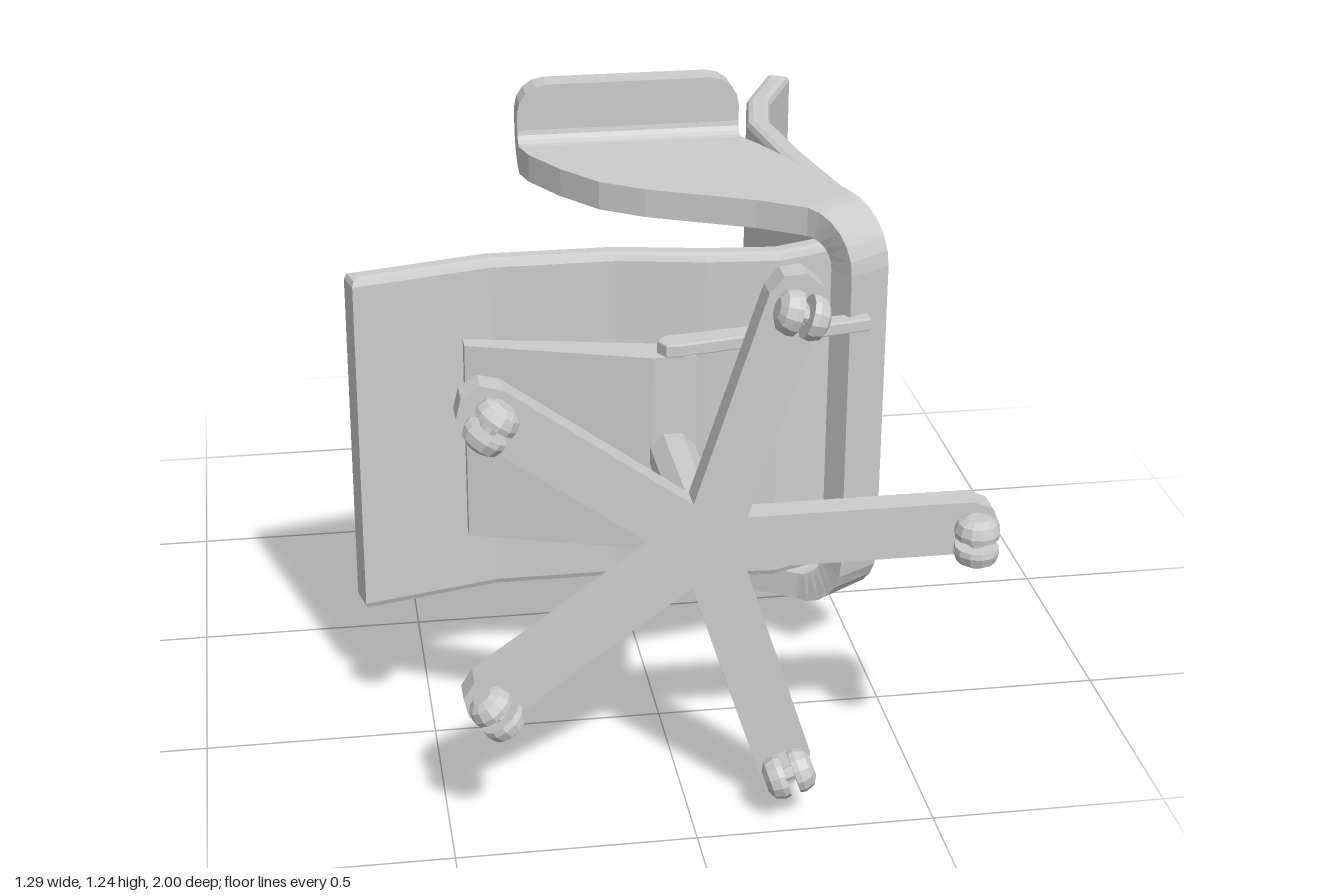
import * as THREE from 'three';

const mat = new THREE.MeshStandardMaterial({ color: 0xcccccc, flatShading: true });

function add(parent, name, geo, x = 0, y = 0, z = 0) {
  const m = new THREE.Mesh(geo, mat);
  m.name = name;
  m.position.set(x, y, z);
  parent.add(m);
  return m;
}

const v2 = (p) => p.map(([x, y]) => new THREE.Vector2(x, y));

// Extrude a side profile across the chair, centred on z = 0
function slab(points, width, bevel = 0) {
  const g = new THREE.ExtrudeGeometry(new THREE.Shape(v2(points)), {
    depth: width - 2 * bevel, bevelEnabled: bevel > 0,
    bevelSize: bevel, bevelThickness: bevel, bevelSegments: 2,
  });
  return g.translate(0, 0, -width / 2 + bevel);
}

// Closed outline at a constant distance on both sides of a path
function thicken(path, half) {
  const p = v2(path), left = [], right = [];
  p.forEach((c, i) => {
    const a = p[Math.max(i - 1, 0)], b = p[Math.min(i + 1, p.length - 1)];
    const t = b.clone().sub(a).normalize();
    left.push([c.x - t.y * half, c.y + t.x * half]);
    right.push([c.x + t.y * half, c.y - t.x * half]);
  });
  return [...right, ...left.reverse()];
}

// Skin over four-cornered cross-sections, capped at both ends
function loft(rings) {
  const pos = rings.flat(2), idx = [], last = (rings.length - 1) * 4;
  for (let i = 0; i < rings.length - 1; i++) {
    for (let j = 0; j < 4; j++) {
      const a = i * 4 + j, b = i * 4 + (j + 1) % 4;
      idx.push(a, a + 4, b + 4, a, b + 4, b);
    }
  }
  idx.push(0, 1, 2, 0, 2, 3, last, last + 2, last + 1, last, last + 3, last + 2);
  const g = new THREE.BufferGeometry();
  g.setAttribute('position', new THREE.Float32BufferAttribute(pos, 3));
  g.setIndex(idx);
  const flat = g.toNonIndexed();
  flat.computeVertexNormals();
  return flat;
}

// One continuous strap: arm pad, side panel, bend, bar under the seat, mirrored
function armStrap() {
  const t = 0.065, half = [];
  const section = (a, b, z, n) => {
    const o = ([x, y]) => [x, y, z];
    const inn = ([x, y]) => [x + n[0] * t, y + n[1] * t, z + n[2] * t];
    half.push([o(a), o(b), inn(b), inn(a)]);
  };
  // pad with rounded outer corners
  for (let i = 0; i <= 4; i++) {
    const q = (i / 4) * Math.PI / 2, inset = 0.07 * (1 - Math.sin(q));
    section([-0.215 + inset, 0.27], [0.308 - inset, 0.27], 0.548 + 0.07 * Math.cos(q), [0, 1, 0]);
  }
  // bend from pad to panel
  for (let i = 4; i >= 0; i--) {
    const q = (i / 4) * Math.PI / 2, s = Math.sin(q), c = Math.cos(q);
    section([-0.215, 0.24 + 0.03 * s], [0.308, 0.24 + 0.03 * s], 0.51 - 0.03 * c, [0, s, -c]);
  }
  // tapering side panel: front edge, rear edge
  [
    [-0.2, 0.18, 0.335, 0.19], [-0.14, 0.07, 0.37, 0.11], [-0.065, -0.03, 0.4, 0.03],
    [0.03, -0.095, 0.425, -0.03], [0.15, -0.15, 0.45, -0.09], [0.26, -0.2, 0.465, -0.14],
  ].forEach(([ax, ay, bx, by]) => section([ax, ay], [bx, by], 0.48, [0, 0, -1]));
  // bend into the cross bar
  const R = 0.13;
  for (let i = 0; i <= 6; i++) {
    const q = (i / 6) * Math.PI / 2, s = Math.sin(q), c = Math.cos(q);
    section([0.36 + 0.08 * s, -0.265 - 0.095 * s], [0.475 + 0.06 * s, -0.17 - 0.135 * s],
      0.48 - R + R * c, [-0.5 * s, 0.866 * s, -c]);
  }
  const other = half.map((r) => r.map(([x, y, z]) => [x, y, -z])).reverse();
  return loft([...half, ...other]);
}

// Five-armed star outline with rounded arm tips
function starPoints(w, reach) {
  const pts = [], notch = w / Math.sin(Math.PI / 5);
  for (let k = 0; k < 5; k++) {
    const a = k * Math.PI * 0.4, c = Math.cos(a), s = Math.sin(a);
    pts.push([notch * Math.cos(a - Math.PI / 5), notch * Math.sin(a - Math.PI / 5)]);
    for (let i = 0; i <= 4; i++) {
      const q = (i / 4 - 0.5) * Math.PI;
      const u = reach - w + w * Math.cos(q), v = w * Math.sin(q);
      pts.push([u * c - v * s, u * s + v * c]);
    }
  }
  return pts;
}

// Twin-wheel caster, axle along z
function caster() {
  const g = new THREE.Group();
  g.name = 'caster';
  const profile = v2([[0, 0], [0.045, 0], [0.047, 0.012], [0.04, 0.032], [0.022, 0.042], [0, 0.042]]);
  for (const side of [1, -1]) {
    const wheel = add(g, 'casterWheel', new THREE.LatheGeometry(profile, 12), 0, 0, side * 0.01);
    wheel.rotation.x = side * Math.PI / 2;
  }
  add(g, 'casterAxle', new THREE.CylinderGeometry(0.015, 0.015, 0.03, 8)).rotation.x = Math.PI / 2;
  add(g, 'casterStem', new THREE.BoxGeometry(0.035, 0.065, 0.03), 0, 0.032, 0);
  return g;
}

export function createModel() {
  const model = new THREE.Group();
  model.name = 'officeChair';

  // The chair is built upright, facing -x, then laid on its side
  const chair = new THREE.Group();
  chair.name = 'chair';
  chair.rotation.x = -Math.PI / 2;
  chair.position.y = 0.617;
  model.add(chair);

  // Seat and backrest in one bent shell
  const shell = [
    [-0.625, -0.302], [-0.34, -0.23], [-0.06, -0.23], [0.135, -0.267], [0.29, -0.28], [0.4, -0.24],
    [0.48, -0.15], [0.515, -0.04], [0.5, 0.105], [0.455, 0.37], [0.427, 0.62], [0.46, 0.79], [0.547, 0.98],
  ];
  add(chair, 'seatShell', slab(thicken(shell, 0.013), 0.79, 0.017));

  add(chair, 'armrestStrap', armStrap());

  // Support wedge under the seat
  add(chair, 'seatSupport', slab(
    [[-0.4, -0.29], [-0.4, -0.328], [-0.01, -0.455], [0.085, -0.455], [0.085, -0.39], [0.04, -0.382]], 0.456));

  // Side links from the wedge back to the strap
  const link = [[0.48, -0.335], [0.055, -0.398], [0.025, -0.402], [0.008, -0.425], [0.022, -0.452],
    [0.05, -0.453], [0.48, -0.368]].reverse();
  for (const side of [1, -1]) {
    add(chair, 'supportLink', slab(link, 0.03, 0.004), 0, 0, side * 0.241);
  }

  // Column, collar and star base
  const cx = 0.034;
  const post = (name, rTop, rBottom, y0, y1) => add(chair, name,
    new THREE.CylinderGeometry(rTop, rBottom, y1 - y0, 8).rotateY(Math.PI / 8), cx, (y0 + y1) / 2, 0);
  post('column', 0.053, 0.053, -0.8, -0.44);
  post('columnCollar', 0.053, 0.098, -0.836, -0.79);

  const star = new THREE.ExtrudeGeometry(new THREE.Shape(v2(starPoints(0.058, 0.605))),
    { depth: 0.057, bevelEnabled: false });
  add(chair, 'starBase', star.rotateX(-Math.PI / 2), cx, -0.891, 0);

  for (let k = 0; k < 5; k++) {
    const a = k * Math.PI * 0.4;
    const c = caster();
    c.position.set(cx + 0.54 * Math.cos(a), -0.948, -0.54 * Math.sin(a));
    c.rotation.y = a;
    chair.add(c);
  }
  return model;
}
